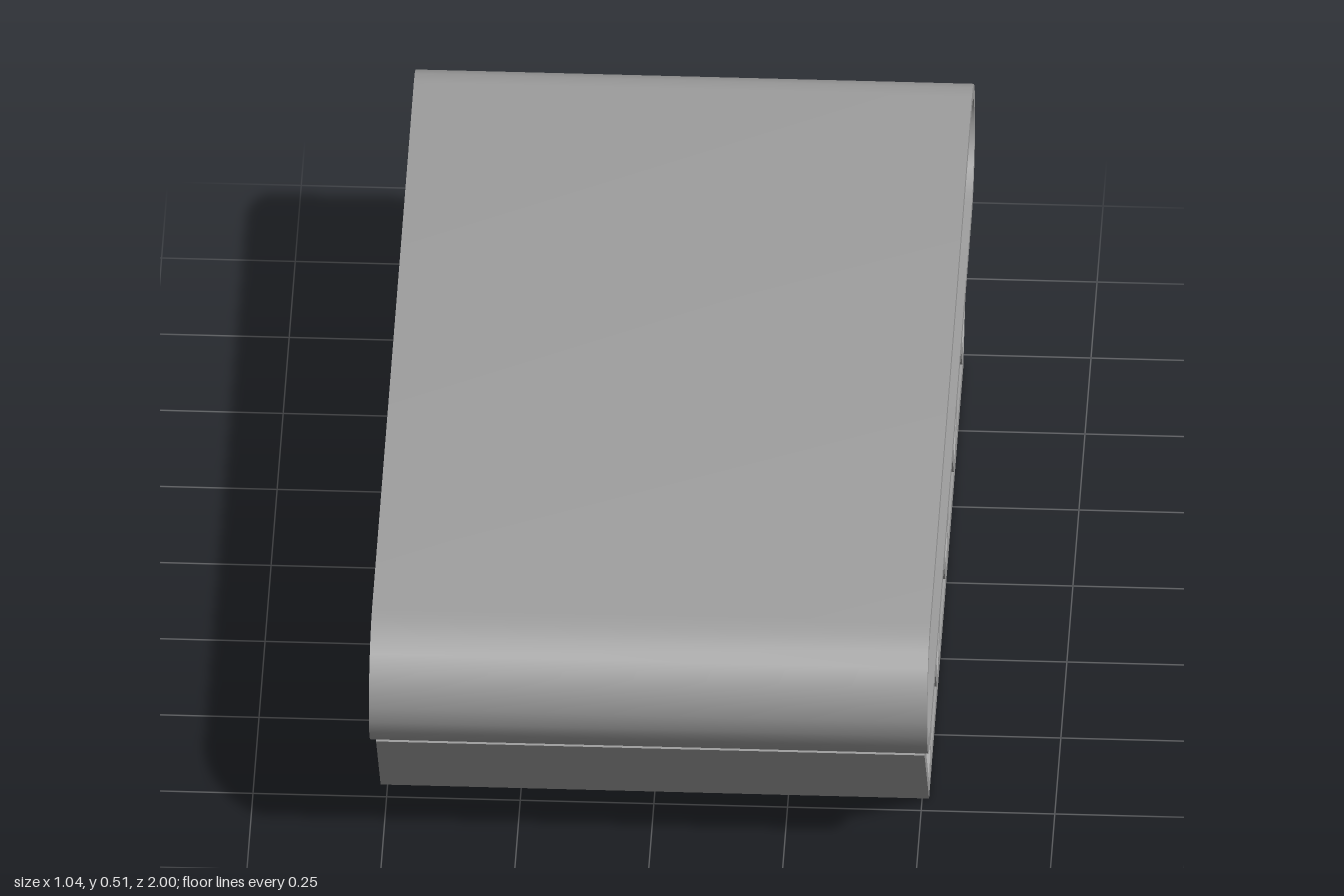
import * as THREE from 'three';
import { toCreasedNormals } from 'three/addons/utils/BufferGeometryUtils.js';

const material = new THREE.MeshStandardMaterial({ color: 0x9f9f9f });

function part(name, geometry, parent) {
  const mesh = new THREE.Mesh(geometry, material);
  mesh.name = name;
  parent.add(mesh);
  return mesh;
}

// Extrudes a side profile (-z, y) across the width, centred on x = 0
function extrudeAcross(shape, width) {
  const geometry = new THREE.ExtrudeGeometry(shape, { depth: width, bevelEnabled: false, curveSegments: 6 });
  geometry.translate(0, 0, -width / 2);
  geometry.rotateY(Math.PI / 2);
  return toCreasedNormals(geometry, 0.5);
}

const polygon = (points) => points.map(([x, y]) => new THREE.Vector2(x, y));

function stadium(path, half, y, radius) {
  path.moveTo(-half, y - radius);
  path.lineTo(half, y - radius);
  path.absarc(half, y, radius, -Math.PI / 2, Math.PI / 2, false);
  path.lineTo(-half, y + radius);
  path.absarc(-half, y, radius, Math.PI / 2, Math.PI * 1.5, false);
  return path;
}

const trapezoid = () => new THREE.Shape(polygon([[-0.71, 0], [0.71, 0], [0.9, 0.229], [-0.9, 0.229]]));

export function createModel() {
  const model = new THREE.Group();
  model.name = 'conveyor';
  const axisY = 0.373;

  // Belt loop
  const belt = stadium(new THREE.Shape(), 0.865, axisY, 0.135);
  belt.holes.push(stadium(new THREE.Path(), 0.865, axisY, 0.107));
  part('belt', extrudeAcross(belt, 1.044), model);

  // Rollers inside the belt
  const rollers = new THREE.Group();
  rollers.name = 'rollers';
  model.add(rollers);
  for (const z of [0.866, 0.436, -0.016, -0.435, -0.862]) {
    const geometry = new THREE.CylinderGeometry(0.094, 0.094, 1.006, 48);
    geometry.rotateZ(Math.PI / 2);
    part('roller', geometry, rollers).position.set(0, axisY, z);
  }

  // Solid base with a recessed truss on each side
  const base = new THREE.Group();
  base.name = 'base';
  model.add(base);
  const halfWidth = 0.513, recess = 0.04, pitch = 0.1765;
  part('baseCore', extrudeAcross(trapezoid(), 2 * (halfWidth - recess)), base);

  const truss = trapezoid();
  for (let i = -4; i <= 4; i++) {
    const c = i * pitch + 0.002;
    const [edge, tip] = i % 2 === 0 ? [0.199, 0.035] : [0.034, 0.199];
    truss.holes.push(new THREE.Path(polygon([[c - 0.137, edge], [c + 0.137, edge], [c, tip]])));
  }
  const trussGeometry = extrudeAcross(truss, recess);
  for (const side of [-1, 1]) {
    part(side > 0 ? 'leftTruss' : 'rightTruss', trussGeometry, base).position.x = side * (halfWidth - recess / 2);
  }
  return model;
}
